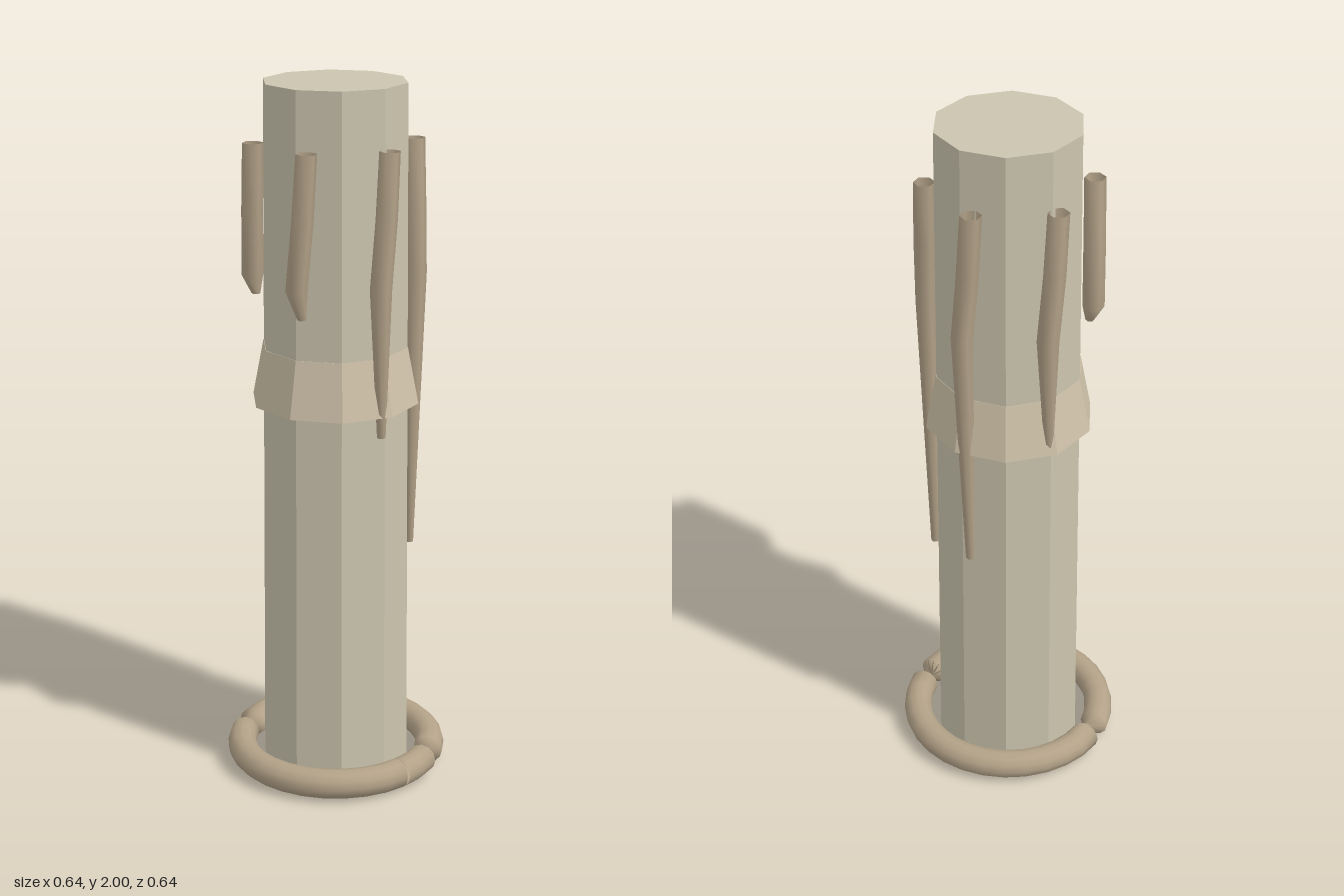
import * as THREE from 'three';

const mat = (name, color, extra = {}) => {
  const m = new THREE.MeshStandardMaterial({ color, ...extra });
  m.name = name;
  return m;
};

// Open tube through cross-sections { c, u, v, r, spin }
function sweep(sections, sides) {
  const pos = [], index = [];
  sections.forEach(({ c, u, v, r, spin = 0 }, j) => {
    for (let i = 0; i < sides; i++) {
      const phi = (i / sides) * Math.PI * 2 + spin;
      const p = c.clone().addScaledVector(u, r * Math.cos(phi)).addScaledVector(v, r * Math.sin(phi));
      pos.push(p.x, p.y, p.z);
      if (j === sections.length - 1) continue;
      const a = j * sides + i, b = j * sides + ((i + 1) % sides);
      index.push(a, b, a + sides, b, b + sides, a + sides);
    }
  });
  const g = new THREE.BufferGeometry();
  g.setAttribute('position', new THREE.Float32BufferAttribute(pos, 3));
  g.setIndex(index);
  g.computeVertexNormals();
  return g;
}

const radial = (a) => new THREE.Vector3(Math.cos(a), 0, Math.sin(a));
const tangent = (a) => new THREE.Vector3(-Math.sin(a), 0, Math.cos(a));

export function createModel() {
  const group = new THREE.Group();
  const wax = mat('pale wax', 0xcbc4ae, { flatShading: true });
  const collarWax = mat('warm wax', 0xcfc2a9, { flatShading: true });
  const dripWax = mat('tan wax', 0xb3a288, { side: THREE.DoubleSide });

  const add = (name, geometry, material) => {
    const mesh = new THREE.Mesh(geometry, material);
    mesh.name = name;
    group.add(mesh);
    return mesh;
  };

  // Ten-sided column and its flared collar
  const column = add('column', new THREE.CylinderGeometry(0.2, 0.216, 2, 10), wax);
  column.position.set(-0.003, 1, 0);
  column.rotation.y = Math.PI / 2;
  const collar = add('collar', new THREE.CylinderGeometry(0.207, 0.238, 0.16, 10), collarWax);
  collar.position.set(-0.003, 1.19, 0);
  collar.rotation.y = Math.PI / 2;

  // Base ring: open at one point, with two twisted pinches
  const steps = 30, ring = [];
  for (let i = 0; i <= steps; i++) {
    const a = (i / steps) * Math.PI * 2;
    const tilt = i === 0 ? 0.105 : i === steps ? -0.105 : 0;
    ring.push({
      c: radial(a).multiplyScalar(0.278).setY(0.046),
      u: radial(a + tilt),
      v: new THREE.Vector3(0, 1, 0),
      r: 0.042,
      spin: i >= 13 && i < 28 ? 2.6 : 0,
    });
  }
  add('baseRing', sweep(ring, 12), dripWax);

  // Hexagonal drips around the top, each running to its own height
  [1.05, 1.39, 1.42, 1.12, 0.75, 0.67].forEach((bottom, k) => {
    const a = (k * Math.PI) / 3;
    const section = (y, dist, turn, r) => ({
      c: radial(a + turn).multiplyScalar(dist).add(new THREE.Vector3(-0.003, y, 0.003)),
      u: radial(a + turn),
      v: tangent(a + turn),
      r,
    });
    add('drip', sweep([
      section(1.84, 0.223, 0, 0.029),
      section(1.66, 0.225, 0.05, 0.03),
      section(1.47, 0.226, 0.13, 0.03),
      section(bottom, 0.217, 0.08, 0.012),
    ], 6), dripWax);
  });

  return group;
}
